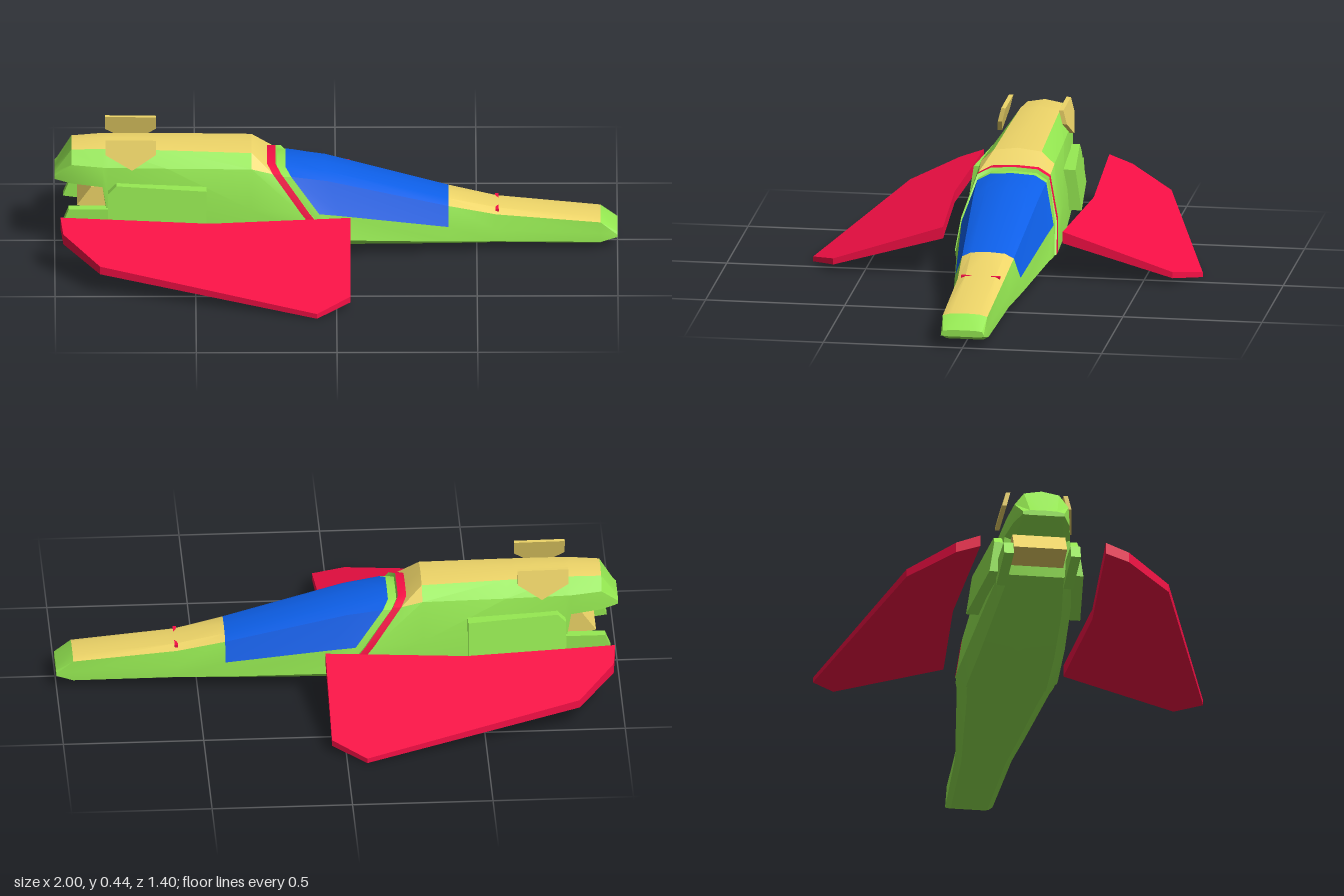
import * as THREE from 'three';
import { toCreasedNormals } from 'three/addons/utils/BufferGeometryUtils.js';

const mat = color => new THREE.MeshStandardMaterial({ color });
const GREEN = mat(0x96ea52), YELLOW = mat(0xeed568), BLUE = mat(0x0d5fe8), RED = mat(0xf50f45);

// Half cross-section: ridge, deck edge, shoulder, waist, chine, bottom edge, keel.
// lean pushes the lower rows forward.
function section(x, top, shoulderY, shoulderW, chineW, bottom, lean = 0) {
  const h = shoulderY - bottom;
  const at = (push, y, z) => new THREE.Vector3(x + lean * push, y, z);
  return [
    at(0, top, 0),
    at(0, top - (top - shoulderY) * 0.2, shoulderW * 0.65),
    at(0.1, shoulderY, shoulderW),
    at(0.6, bottom + h * 0.5, shoulderW * 0.2 + chineW * 0.8),
    at(1, bottom + h * 0.12, chineW),
    at(1, bottom, chineW * 0.78),
    at(1, bottom, 0),
  ];
}

const point = (x, y) => section(x, y, y, 0, 0, y);
const redFrame = x => section(x, 0.338, 0.312, 0.129, 0.183, 0.045, 0.2);
const greenRim = x => section(x, 0.325, 0.3, 0.124, 0.176, 0.045, 0.2);

// Tail to nose
const S = [
  point(-1, 0.28),
  section(-1, 0.29, 0.283, 0.075, 0.075, 0.27),
  section(-0.94, 0.392, 0.335, 0.097, 0.1, 0.255),
  section(-0.83, 0.4, 0.33, 0.11, 0.118, 0.248),
  section(-0.81, 0.4, 0.33, 0.111, 0.125, 0.12),
  section(-0.6, 0.396, 0.33, 0.12, 0.152, 0.07),
  section(-0.3, 0.386, 0.332, 0.132, 0.172, 0.045),
  redFrame(-0.245),
  redFrame(-0.215),
  greenRim(-0.21),
  greenRim(-0.18),
  section(-0.04, 0.307, 0.28, 0.118, 0.166, 0.042, 0.1),
  section(0.4, 0.192, 0.172, 0.093, 0.123, 0.03),
  section(0.57, 0.154, 0.135, 0.083, 0.101, 0.026),
  section(0.94, 0.112, 0.102, 0.08, 0.084, 0.018),
  section(1, 0.066, 0.062, 0.07, 0.078, 0.042),
  point(1, 0.055),
];

// Skin between stations s0..s1 and rows r0..r1, on both sides of the hull
function panel(...patches) {
  const pos = [];
  for (const [s0, s1, r0, r1] of patches)
    for (let i = s0; i < s1; i++)
      for (let j = r0; j < r1; j++) {
        const a = S[i][j], b = S[i][j + 1], c = S[i + 1][j + 1], d = S[i + 1][j];
        for (const p of [a, b, c, a, c, d]) pos.push(p.x, p.y, p.z);
        for (const p of [a, c, b, a, d, c]) pos.push(p.x, p.y, -p.z);
      }
  const g = new THREE.BufferGeometry();
  g.setAttribute('position', new THREE.Float32BufferAttribute(pos, 3));
  return toCreasedNormals(g, 0.4);
}

// Flat outline extruded, then each vertex moved by a rule
function bent(outline, rule) {
  const shape = new THREE.Shape(outline.map(([x, y]) => new THREE.Vector2(x, y)));
  const g = new THREE.ExtrudeGeometry(shape, { depth: 1, bevelEnabled: false });
  const p = g.attributes.position;
  for (let i = 0; i < p.count; i++) p.setXYZ(i, ...rule(p.getX(i), p.getY(i), p.getZ(i)));
  g.computeVertexNormals();
  return g;
}

export function createModel() {
  const model = new THREE.Group();
  const add = (name, geometry, material) => {
    const m = new THREE.Mesh(geometry, material);
    m.name = name;
    model.add(m);
    return m;
  };

  // Fuselage skins
  add('hull', panel(
    [0, 2, 0, 6], [2, 6, 1, 6], [6, 7, 2, 6], [7, 8, 4, 6], [8, 10, 0, 6],
    [10, 12, 3, 6], [12, 14, 2, 6], [14, 16, 0, 6]), GREEN);
  add('spine', panel([2, 6, 0, 1], [6, 7, 0, 2]), YELLOW);
  add('canopyFrame', panel([7, 8, 0, 4]), RED);
  add('canopy', panel([10, 12, 0, 3]), BLUE);
  add('noseDeck', panel([12, 14, 0, 2]), YELLOW);
  add('noseSlit', new THREE.BoxGeometry(0.012, 0.018, 0.14), RED).position.set(0.572, 0.142, 0);

  // Exhaust under the tail
  add('exhaust', bent([[-0.92, 0.18], [-0.75, 0.14], [-0.75, 0.25], [-0.87, 0.25]],
    (x, y, d) => [x, y, (d - 0.5) * 0.19]), YELLOW);

  const wing = [[-0.98, 0.225], [-0.45, 0.25], [0.05, 0.215], [0.05, 0.61], [-0.07, 0.7], [-0.84, 0.47], [-0.97, 0.31]];
  const fin = [[-0.82, 0.385], [-0.725, 0.33], [-0.64, 0.385], [-0.64, 0.435], [-0.82, 0.437]];
  const pod = [[-0.81, 0.13], [-0.46, 0.12], [-0.46, 0.268], [-0.78, 0.275], [-0.81, 0.245]];
  const strut = [[-0.97, 0.13], [-0.76, 0.1], [-0.76, 0.18], [-0.95, 0.18]];

  for (const [label, side] of [['left', 1], ['right', -1]]) {
    // Drooping wing, thinner towards the tip. The left and right sides are +z and -z.
    add(label + 'Wing', bent(wing.map(([x, z]) => [x, z * side]), (x, z, d) => {
      const out = Math.abs(z) - 0.22;
      return [x, 0.179 - 0.01 * x - 0.335 * out - d * (0.042 - 0.05 * out), z];
    }), RED);

    // Upright fin leaning inwards
    add(label + 'Fin', bent(fin, (x, y, d) =>
      [x, y, side * (0.13 - (y - 0.33) * 0.25) + (d - 0.5) * 0.016]), YELLOW);

    // Side pod, toed out towards its front
    add(label + 'Pod', bent(pod, (x, y, d) =>
      [x, y, side * (0.163 + (x + 0.46) * 0.1 - (y - 0.2) * 0.15) + (d - 0.5) * 0.06]), GREEN);

    // Small rear strut below the exhaust
    add(label + 'Strut', bent(strut, (x, y, d) =>
      [x, y, side * 0.12 + (d - 0.5) * 0.035]), GREEN);
  }
  return model;
}
